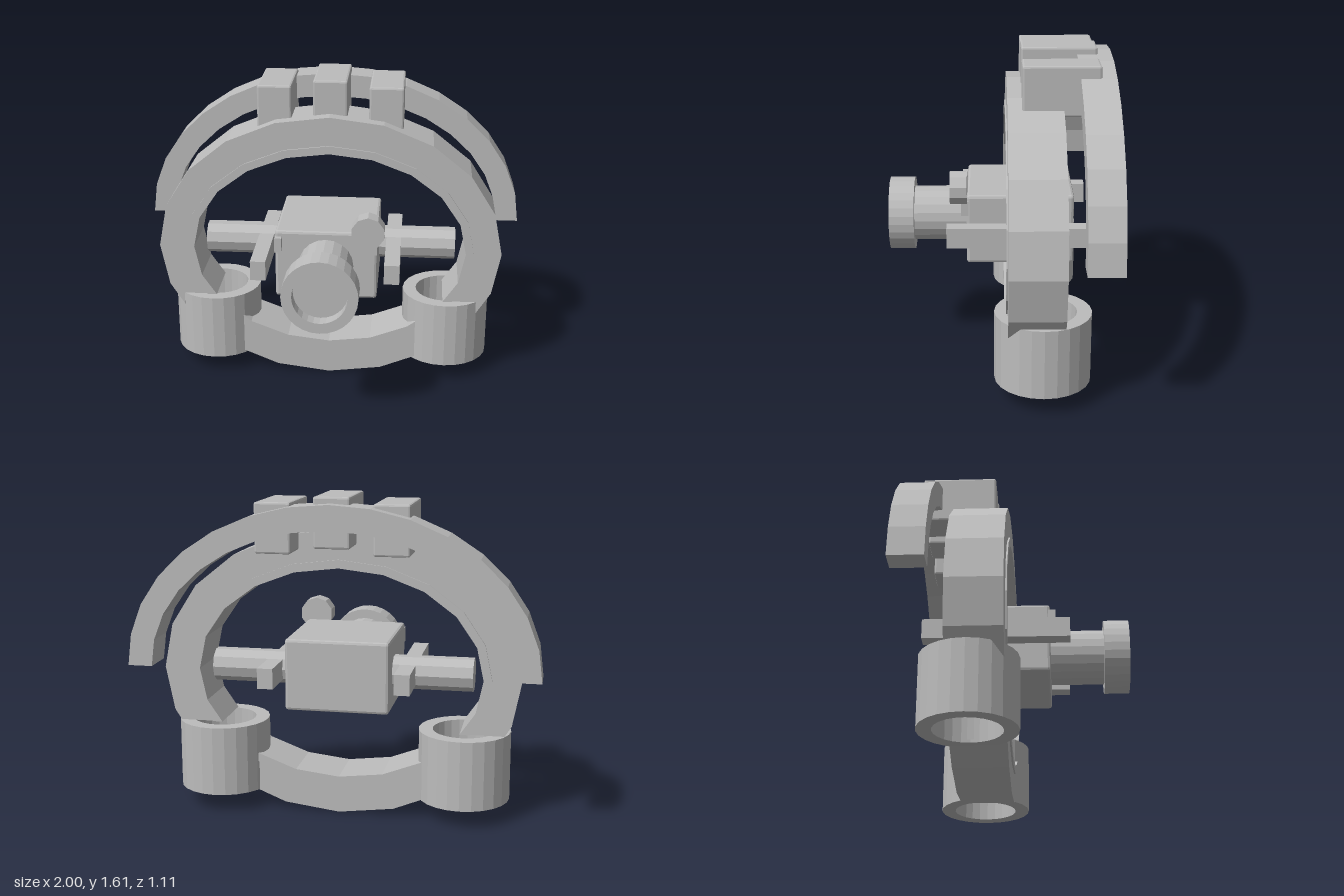
import * as THREE from 'three';
import { RoundedBoxGeometry } from 'three/addons/geometries/RoundedBoxGeometry.js';

const CY = 0.72; // height of the ring centre

export function createModel() {
  const model = new THREE.Group();
  model.name = 'ringAssembly';
  const grey = new THREE.MeshStandardMaterial({ color: 0xbcbcbc, flatShading: true });
  grey.name = 'plain grey';

  function add(name, geometry, x = 0, y = 0, z = 0) {
    const mesh = new THREE.Mesh(geometry, grey);
    mesh.name = name;
    mesh.position.set(x, y, z);
    model.add(mesh);
    return mesh;
  }

  // Box from its limits, with an optional small bevel
  function box(name, x0, x1, y0, y1, z0, z1, bevel = 0) {
    const size = [x1 - x0, y1 - y0, z1 - z0];
    const geometry = bevel ? new RoundedBoxGeometry(...size, 1, bevel) : new THREE.BoxGeometry(...size);
    return add(name, geometry, (x0 + x1) / 2, (y0 + y1) / 2, (z0 + z1) / 2);
  }

  // Points of a faceted ellipse between two angles in degrees
  function arc(rx, ry, from, to, step, cy = CY) {
    const points = [];
    for (let a = from; a <= to + 1e-6; a += step) {
      const t = THREE.MathUtils.degToRad(a);
      points.push(new THREE.Vector2(rx * Math.cos(t), cy + ry * Math.sin(t)));
    }
    return points;
  }

  // Keep the part of a polyline where f is positive
  function clip(points, f) {
    const kept = [];
    points.forEach((p, i) => {
      if (i > 0) {
        const q = points[i - 1], a = f(q), b = f(p);
        if (a * b < 0) kept.push(q.clone().lerp(p, a / (a - b)));
      }
      if (f(p) >= 0) kept.push(p);
    });
    return kept;
  }

  function slab(name, points, z0, z1) {
    const geometry = new THREE.ExtrudeGeometry(new THREE.Shape(points), { depth: z1 - z0, bevelEnabled: false });
    return add(name, geometry, 0, 0, z0);
  }

  // Main ring and its inner lining, interrupted by the two foot sockets
  const v = (x, y) => new THREE.Vector2(x, y);
  const above = (h) => (p) => p.y - h;
  const between = (p) => 0.462 - Math.abs(p.x);
  const upper = (rx, ry, h) => clip(arc(rx, ry, -36, 216, 18), above(h));
  const lower = (rx, ry) => clip(arc(rx, ry, 216, 324, 18), between);

  slab('upperRing', [v(0.78, 0.445), ...upper(0.9, 0.72, 0.38), v(-0.78, 0.445),
    ...upper(0.755, 0.57, 0.445).reverse()], -0.31, -0.04);
  slab('upperRingLining', [...upper(0.757, 0.572, 0.445), ...upper(0.715, 0.53, 0.445).reverse()], -0.318, -0.032);
  slab('lowerRing', [...lower(0.9, 0.72), ...lower(0.755, 0.57).reverse()], -0.31, -0.04);
  slab('lowerRingLining', [...lower(0.757, 0.572), ...lower(0.715, 0.53).reverse()], -0.318, -0.032);

  // Rear half arch
  slab('rearArch', [...arc(1, 0.8, 0, 180, 11.25, 0.78), ...arc(0.88, 0.68, 0, 180, 11.25, 0.78).reverse()], -0.556, -0.385);

  // Blocks joining the ring to the arch
  for (const x of [-0.286, 0, 0.286]) {
    const lift = x === 0 ? 0.03 : 0;
    box('topBlock', x - 0.088, x + 0.088, 1.335 + lift, 1.58 + lift, -0.485, -0.11, 0.01);
  }

  // Central housing
  box('housing', -0.26, 0.26, 0.54, 0.9, -0.375, 0.16, 0.014);

  for (const side of [-1, 1]) {
    // Hollow foot sockets
    const socket = new THREE.LatheGeometry(
      [v(0.23, 0.095), v(0.23, 0.445), v(0.16, 0.445), v(0.16, 0.095), v(0.23, 0.095)], 24);
    add('footSocket', socket, side * 0.62, 0, -0.21).scale.z = 1.02;

    // Side rods, long side bars and small front tabs
    const rod = new THREE.CylinderGeometry(0.085, 0.085, 0.42, 10).rotateZ(Math.PI / 2);
    add('sideRod', rod, side * 0.45, CY, -0.19);
    const bar = side * 0.337;
    box('sideBar', bar - 0.039, bar + 0.039, 0.668, 0.77, -0.467, 0.258);
    const tab = side * 0.242;
    box('frontTab', tab - 0.018, tab + 0.018, 0.795, 0.87, 0.15, 0.188);
  }

  // Front barrel with a recessed end
  add('barrel', new THREE.CylinderGeometry(0.14, 0.14, 0.3, 20).rotateX(Math.PI / 2), 0, CY, 0.29);
  const cap = new THREE.LatheGeometry(
    [v(0, 0.43), v(0.188, 0.43), v(0.188, 0.557), v(0.135, 0.557), v(0.135, 0.49), v(0, 0.49)], 28);
  add('barrelCap', cap.rotateX(Math.PI / 2), 0, CY, 0);

  // Round knob on the upper corner
  add('knob', new THREE.CylinderGeometry(0.085, 0.085, 0.085, 10).rotateX(Math.PI / 2), 0.215, 0.93, 0.2);

  return model;
}
